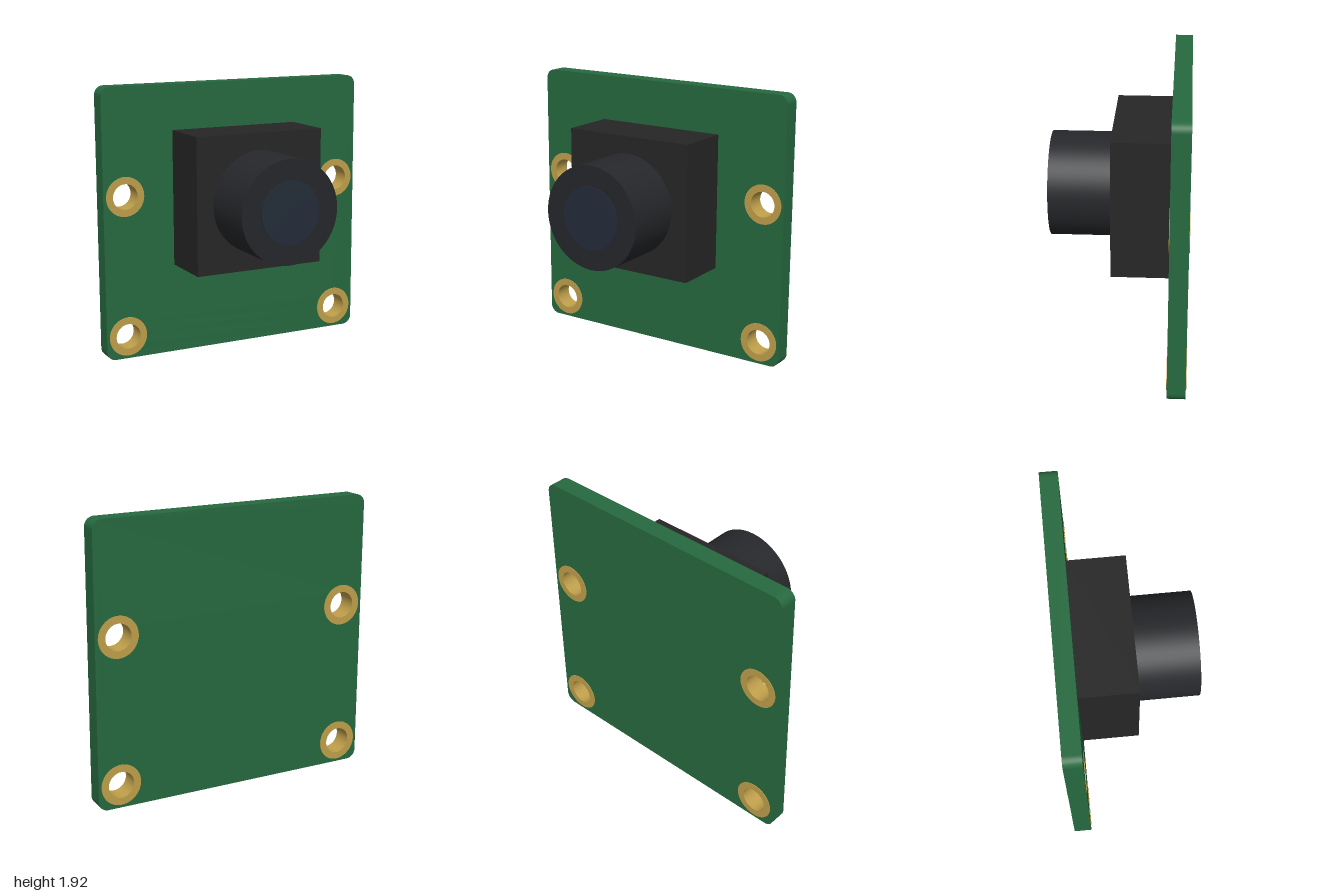
import * as THREE from 'three';

const BACK = -0.475, FRONT = -0.352;   // circuit board faces
const LENS_Y = 1.12;
const HOLES = [[-0.84, 0.16], [0.84, 0.16], [-0.84, 1.16], [0.84, 1.16]];

function part(name, geometry, color) {
  const mesh = new THREE.Mesh(geometry, new THREE.MeshStandardMaterial({ color }));
  mesh.name = name;
  return mesh;
}

function circle(x, y, r, PathType = THREE.Path) {
  return new PathType().absarc(x, y, r, 0, Math.PI * 2, false);
}

function extrude(shape, z0, z1) {
  const geometry = new THREE.ExtrudeGeometry(shape, {
    depth: z1 - z0, bevelEnabled: false, curveSegments: 24,
  });
  return geometry.translate(0, 0, z0);
}

// Cylinder lying along z between two depths, centred on the lens axis
function disc(r, z0, z1) {
  return new THREE.CylinderGeometry(r, r, z1 - z0, 64)
    .rotateX(Math.PI / 2).translate(0, LENS_Y, (z0 + z1) / 2);
}

export function createModel() {
  const group = new THREE.Group();
  group.name = 'cameraModule';

  // Circuit board with rounded corners and four mounting holes
  const w = 1, h = 1.92, r = 0.065;
  const outline = new THREE.Shape();
  outline.absarc(w - r, r, r, -Math.PI / 2, 0);
  outline.absarc(w - r, h - r, r, 0, Math.PI / 2);
  outline.absarc(-w + r, h - r, r, Math.PI / 2, Math.PI);
  outline.absarc(-w + r, r, r, Math.PI, Math.PI * 1.5);
  outline.closePath();
  for (const [x, y] of HOLES) outline.holes.push(circle(x, y, 0.095));
  group.add(part('circuitBoard', extrude(outline, BACK, FRONT), 0x26693f));

  // Plated rings lining the mounting holes, just proud of both faces
  for (const [x, y] of HOLES) {
    const ring = circle(x, y, 0.14, THREE.Shape);
    ring.holes.push(circle(x, y, 0.09));
    group.add(part('mountingRing', extrude(ring, BACK - 0.004, FRONT + 0.004), 0xbf9f4a));
  }

  // Square sensor housing
  const depth = 0.045 - FRONT;
  const housing = new THREE.BoxGeometry(0.96, 0.96, depth).translate(0, LENS_Y, FRONT + depth / 2);
  group.add(part('sensorHousing', housing, 0x262626));

  // Lens barrel and front glass
  group.add(part('lensBarrel', disc(0.36, 0.045, 0.472), 0x25272a));
  group.add(part('lensGlass', disc(0.217, 0.44, 0.479), 0x232c39));

  return group;
}
